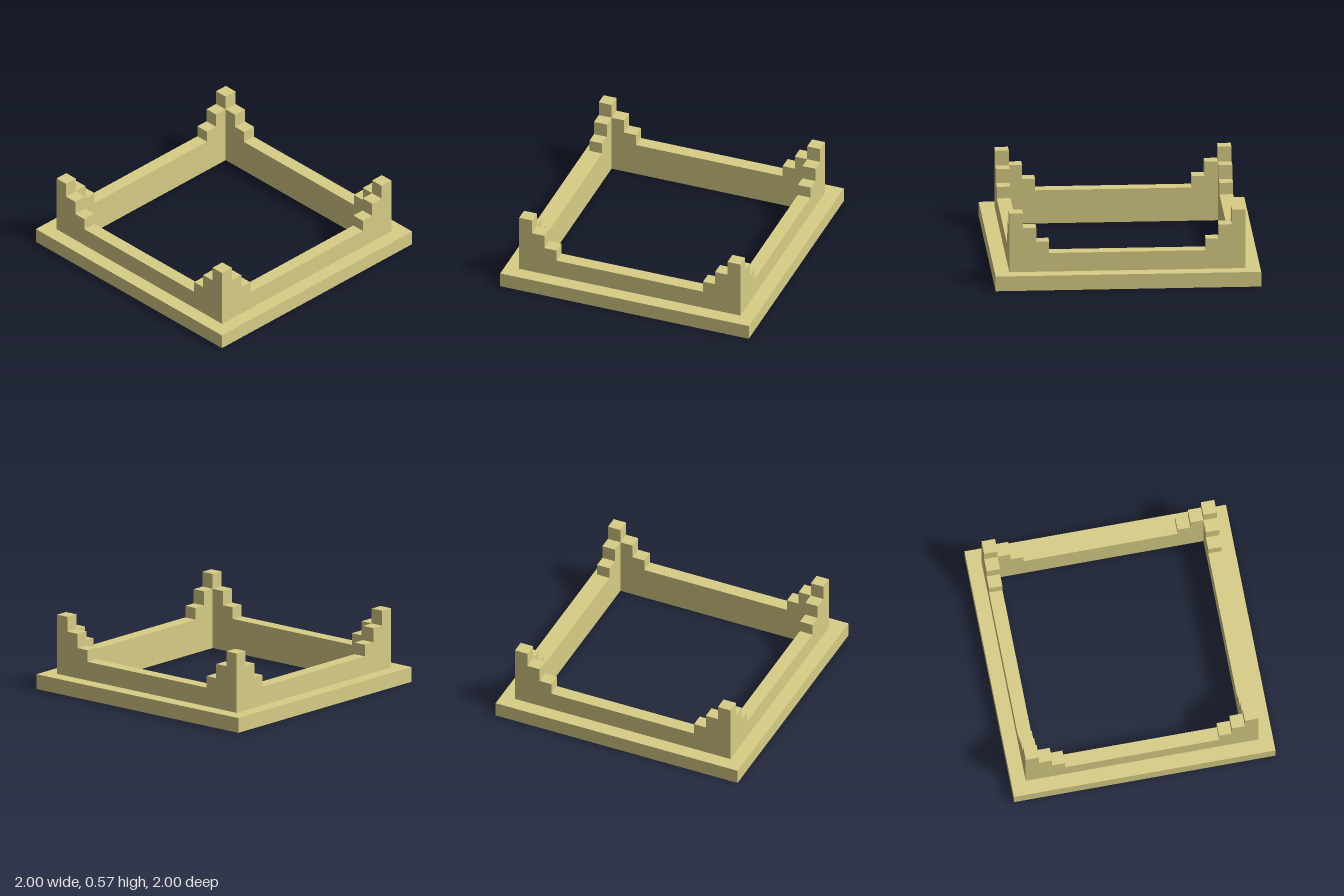
import * as THREE from 'three';

const material = new THREE.MeshStandardMaterial({ color: 0xd8ce86, flatShading: true });

// Flat square frame between two half-widths, from y0 to y1
function squareFrame(name, outer, inner, y0, y1) {
  const square = (PathType, r) => new PathType([
    new THREE.Vector2(-r, -r), new THREE.Vector2(r, -r),
    new THREE.Vector2(r, r), new THREE.Vector2(-r, r),
  ]);
  const shape = square(THREE.Shape, outer);
  shape.holes.push(square(THREE.Path, inner));
  const geometry = new THREE.ExtrudeGeometry(shape, { depth: y1 - y0, bevelEnabled: false });
  geometry.rotateX(-Math.PI / 2).translate(0, y0, 0);
  const mesh = new THREE.Mesh(geometry, material);
  mesh.name = name;
  return mesh;
}

export function createModel() {
  const group = new THREE.Group();
  group.name = 'steppedFrame';

  const outer = 0.89, inner = 0.787, wallBottom = 0.05;

  // Plinth around the foot, and a thin lip under the inner edge of the walls
  group.add(squareFrame('plinth', 1, outer, 0, 0.115));
  group.add(squareFrame('innerLip', inner + 0.008, inner, 0, wallBottom));

  // One wall with stepped ends; each wall stops at its neighbour's corner post
  const profile = [
    [-outer, wallBottom], [inner, wallBottom], [inner, 0.46], [0.687, 0.46],
    [0.687, 0.35], [0.59, 0.35], [0.59, 0.26], [-0.59, 0.26], [-0.59, 0.35],
    [-0.687, 0.35], [-0.687, 0.46], [-inner, 0.46], [-inner, 0.575], [-outer, 0.575],
  ];
  const wallShape = new THREE.Shape(profile.map(([x, y]) => new THREE.Vector2(x, y)));
  const wallGeometry = new THREE.ExtrudeGeometry(wallShape, { depth: outer - inner, bevelEnabled: false });
  wallGeometry.translate(0, 0, inner);

  ['front', 'left', 'back', 'right'].forEach((side, i) => {
    const wall = new THREE.Mesh(wallGeometry, material);
    wall.name = side + 'Wall';
    wall.rotation.y = i * Math.PI / 2;
    group.add(wall);
  });

  return group;
}
